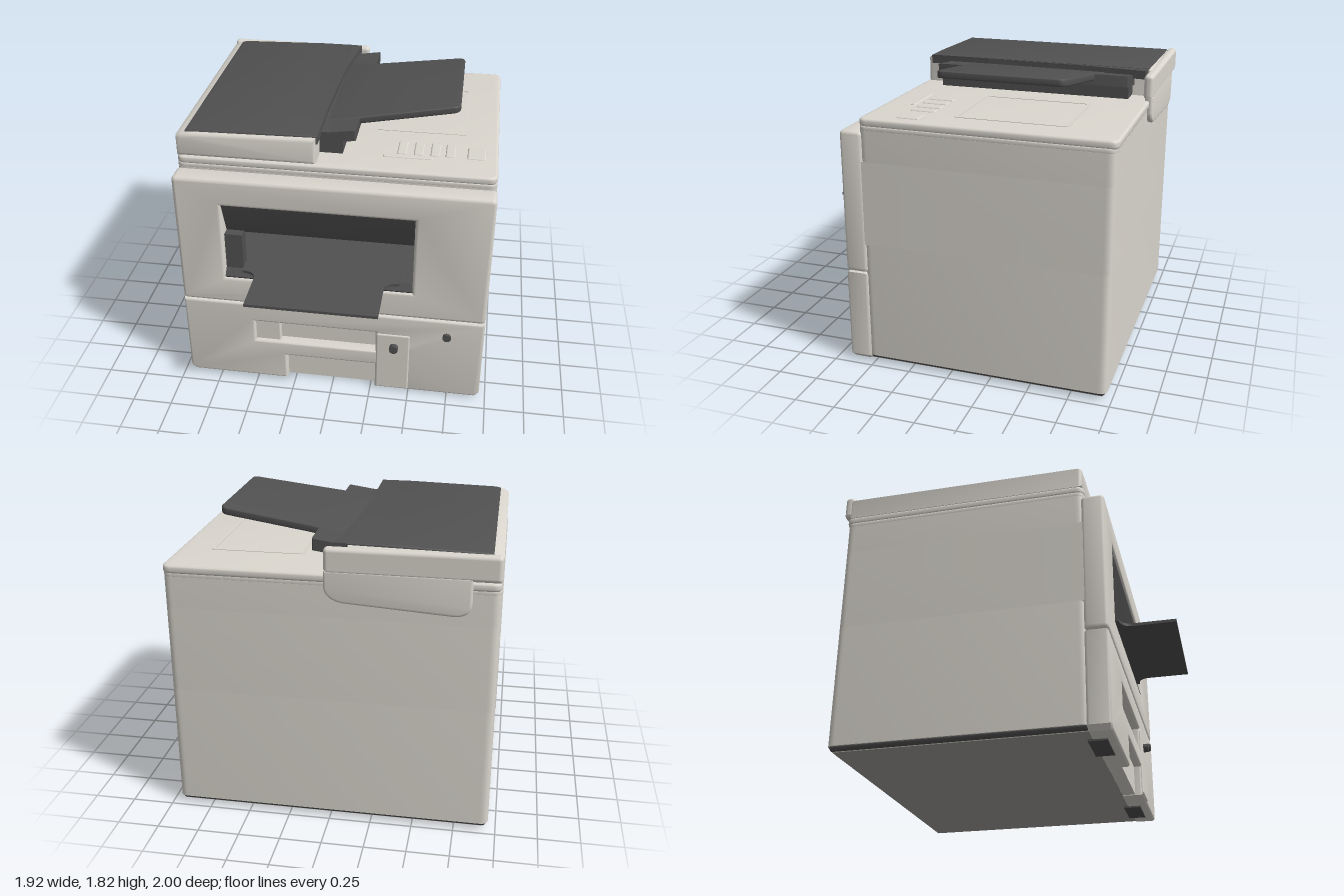
import * as THREE from 'three';
import { toCreasedNormals } from 'three/addons/utils/BufferGeometryUtils.js';
import { RoundedBoxGeometry } from 'three/addons/geometries/RoundedBoxGeometry.js';

export function createModel() {
  const model = new THREE.Group();
  model.name = 'officePrinter';
  const paint = (name, color) => {
    const m = new THREE.MeshStandardMaterial({ color });
    m.name = name;
    return m;
  };
  const casing = paint('warmGreyCasing', 0xdad6ce);
  const dark = paint('darkGreyPlastic', 0x515151);
  const shade = paint('midGreyLining', 0x85837e);
  const underside = paint('undersideGrey', 0xa3a09b);

  const add = (name, geometry, material) => {
    const mesh = new THREE.Mesh(geometry, material);
    mesh.name = name;
    model.add(mesh);
    return mesh;
  };
  // Box given by its extents, optionally rounded
  const block = (name, material, [x0, x1], [y0, y1], [z0, z1], r = 0) => {
    const size = [x1 - x0, y1 - y0, z1 - z0];
    const g = r ? new RoundedBoxGeometry(...size, 3, r) : new THREE.BoxGeometry(...size);
    return add(name, g.translate((x0 + x1) / 2, (y0 + y1) / 2, (z0 + z1) / 2), material);
  };
  const polygon = (points) => new THREE.Shape(points.map((p) => new THREE.Vector2(...p)));
  const rect = (x0, x1, y0, y1, r) => {
    const s = new THREE.Shape();
    s.moveTo(x0 + r, y0);
    s.lineTo(x1 - r, y0).quadraticCurveTo(x1, y0, x1, y0 + r);
    s.lineTo(x1, y1 - r).quadraticCurveTo(x1, y1, x1 - r, y1);
    s.lineTo(x0 + r, y1).quadraticCurveTo(x0, y1, x0, y1 - r);
    s.lineTo(x0, y0 + r).quadraticCurveTo(x0, y0, x0 + r, y0);
    return s;
  };
  // Extrusion from z0 to z1 that keeps the outline size when bevelled
  const extrude = (shape, z0, z1, bevel = 0) => {
    const g = new THREE.ExtrudeGeometry(shape, {
      depth: z1 - z0 - 2 * bevel, bevelEnabled: bevel > 0, bevelSize: bevel,
      bevelThickness: bevel, bevelOffset: -bevel, bevelSegments: 3, curveSegments: 6,
    });
    return toCreasedNormals(g.translate(0, 0, z0 + bevel), 0.7);
  };
  // Plan shape (x, -z) raised from y0 to y1
  const raise = (shape, y0, y1, bevel = 0) => extrude(shape, y0, y1, bevel).rotateX(-Math.PI / 2);
  // Side profile (z, y) stretched from x0 to x1
  const stretch = (shape, x0, x1) => extrude(shape, -x1, -x0).rotateY(-Math.PI / 2);

  // Cabinet: solid bottom and top, U-shaped middle around the output bay
  const plan = () => rect(-0.955, 0.955, -0.54, 0.97, 0.05);
  block('base', dark, [-0.945, 0.945], [0.018, 0.08], [-0.96, 0.54], 0.025);
  block('undersidePlate', underside, [-0.925, 0.925], [0.014, 0.022], [-0.94, 0.53]);
  add('cabinetBottom', raise(plan(), 0.045, 0.79), casing);
  const bay = new THREE.Shape();
  bay.moveTo(-0.955, -0.54);
  bay.lineTo(-0.67, -0.54).lineTo(-0.67, 0).lineTo(0.5, 0).lineTo(0.5, -0.54);
  bay.lineTo(0.955, -0.54).lineTo(0.955, 0.92).quadraticCurveTo(0.955, 0.97, 0.905, 0.97);
  bay.lineTo(-0.905, 0.97).quadraticCurveTo(-0.955, 0.97, -0.955, 0.92);
  add('cabinetMiddle', raise(bay, 0.79, 1.31), casing);
  add('cabinetTop', raise(plan(), 1.31, 1.5), casing);
  add('scannerFrame', raise(plan(), 1.49, 1.53, 0.012), casing);
  add('scannerBed', raise(rect(-0.955, 0.955, -0.54, 0.98, 0.05), 1.52, 1.57, 0.015), casing);
  for (const x of [-0.68, 0.66]) block('foot', dark, [x - 0.13, x + 0.13], [0, 0.03], [0.5, 0.61]);

  // Upper front panel with the output opening
  const upper = rect(-0.96, 0.96, 0.602, 1.49, 0.03);
  upper.holes.push(polygon([[-0.67, 0.79], [-0.67, 1.31], [0.5, 1.31], [0.5, 0.79]]));
  add('upperFrontPanel', extrude(upper, 0.52, 0.66, 0.022), casing);

  // Output bay lining and paper tray
  add('bayHood', stretch(polygon([[0.645, 1.314], [-0.01, 1.314], [-0.01, 1.08], [0.56, 1.08], [0.64, 1.295]]), -0.672, 0.502), dark);
  block('baySideGuide', dark, [-0.672, -0.56], [0.84, 1.09], [0.54, 0.62]);
  add('bayBackShade', extrude(polygon([[-0.03, 0.84], [0.5, 0.84], [0.5, 1.085], [-0.3, 1.085]]), -0.002, 0.006), shade);
  add('bayFloor', stretch(polygon([[-0.01, 0.785], [0.645, 0.785], [0.655, 0.8], [0.63, 0.845], [-0.01, 0.845]]), -0.672, 0.502), dark);
  const tongue = new THREE.Shape();
  tongue.moveTo(-0.56, -0.56);
  tongue.lineTo(-0.56, -0.662).quadraticCurveTo(-0.47, -0.665, -0.47, -0.74);
  tongue.lineTo(-0.47, -1).lineTo(0.33, -1).lineTo(0.33, -0.74);
  tongue.quadraticCurveTo(0.33, -0.665, 0.42, -0.662).lineTo(0.42, -0.56);
  add('outputTray', raise(tongue, 0.842, 0.86), dark);

  // Lower front panel: paper drawer with grip recess and bottom notch
  const lower = polygon([[-0.93, 0.01], [-0.3, 0.01], [-0.3, 0.2], [0.28, 0.2], [0.28, 0.01], [0.93, 0.01],
    [0.96, 0.04], [0.96, 0.598], [-0.96, 0.598], [-0.96, 0.04]]);
  lower.holes.push(polygon([[-0.5, 0.31], [-0.5, 0.46], [0.28, 0.46], [0.28, 0.31]]));
  add('lowerFrontPanel', extrude(lower, 0.52, 0.66, 0.018), casing);
  block('gripRecessBack', casing, [-0.52, 0.3], [0.29, 0.48], [0.53, 0.595]);
  block('gripRecessStep', casing, [-0.51, -0.34], [0.3, 0.47], [0.56, 0.635], 0.01);
  block('notchBack', casing, [-0.32, 0.3], [0.015, 0.22], [0.53, 0.61]);
  block('drawerLatchPlate', casing, [0.285, 0.5], [0.02, 0.46], [0.62, 0.667], 0.012);
  for (const [name, x, y, r, z] of [['drawerKnob', 0.4, 0.365, 0.028, 0.7], ['powerButton', 0.73, 0.483, 0.026, 0.68]]) {
    const g = new THREE.CylinderGeometry(r, r, z - 0.64, 20).rotateX(Math.PI / 2);
    add(name, g.translate(x, y, (z + 0.64) / 2), dark);
  }

  // Document feeder housing with dark lid
  const housing = polygon([[-0.955, 1.565], [-0.955, 1.695], [-0.925, 1.715], [-0.85, 1.722], [-0.11, 1.735], [-0.11, 1.565]]);
  add('feederHousing', extrude(housing, -0.97, 0.53, 0.025), casing);
  const lid = polygon([[-0.9, 1.69], [-0.9, 1.722], [-0.87, 1.73], [-0.3, 1.745], [-0.1, 1.745], [-0.1, 1.69]]);
  add('feederLid', extrude(lid, -0.945, 0.505, 0.008), dark);
  const lidFlare = polygon([[-0.13, -0.1], [-0.1, -0.1], [-0.085, 0.5], [-0.035, 0.94], [-0.13, 0.94]]);
  add('feederLidEdge', raise(lidFlare, 1.69, 1.743), dark);
  block('feederRearRim', casing, [-0.955, 0.02], [1.575, 1.728], [-1, -0.94], 0.025);
  const flap = new THREE.Shape();
  flap.moveTo(0.02, 1.6);
  flap.lineTo(0.02, 1.49).quadraticCurveTo(0.01, 1.43, -0.08, 1.41);
  flap.lineTo(-0.7, 1.37).quadraticCurveTo(-0.8, 1.37, -0.8, 1.45).lineTo(-0.8, 1.6);
  add('rearHingeCover', extrude(flap, -1, -0.95, 0.015), casing);

  // Feeder throat and sloping input tray
  block('feederThroat', dark, [-0.13, 0.03], [1.575, 1.71], [-0.85, 0.375]);
  const slope = (geometry) => {
    const p = geometry.attributes.position;
    for (let i = 0; i < p.count; i++) p.setY(i, p.getY(i) + 0.145 * p.getX(i));
    return toCreasedNormals(geometry, 0.7);
  };
  add('feederGuide', slope(raise(rect(-0.12, 0.108, -0.375, 0.86, 0.01), 1.65, 1.718)), dark);
  const tray = new THREE.Shape();
  tray.moveTo(-0.1, -0.21);
  tray.lineTo(0.02, -0.21).lineTo(0.67, -0.15).quadraticCurveTo(0.71, -0.145, 0.71, -0.1);
  tray.lineTo(0.705, 0.58).quadraticCurveTo(0.7, 0.62, 0.66, 0.625);
  tray.lineTo(0.15, 0.645).lineTo(-0.1, 0.685);
  add('inputTray', slope(raise(tray, 1.678, 1.722, 0.008)), dark);

  // Raised outline on the scanner bed
  const frame = rect(0.2, 0.76, -0.02, 0.66, 0.02);
  frame.holes.push(rect(0.22, 0.74, 0, 0.64, 0.02));
  add('bedOutline', raise(frame, 1.565, 1.573), casing);

  // Control keys
  const top = [1.555, 1.578];
  [0.38, 0.48, 0.58, 0.67].forEach((x) => block('controlKey', casing, [x - 0.03, x + 0.03], top, [0.16, 0.32], 0.01));
  block('startKey', casing, [0.77, 0.88], top, [0.19, 0.33], 0.01);
  block('displayBar', casing, [0.27, 0.57], top, [0.34, 0.37], 0.01);
  return model;
}
